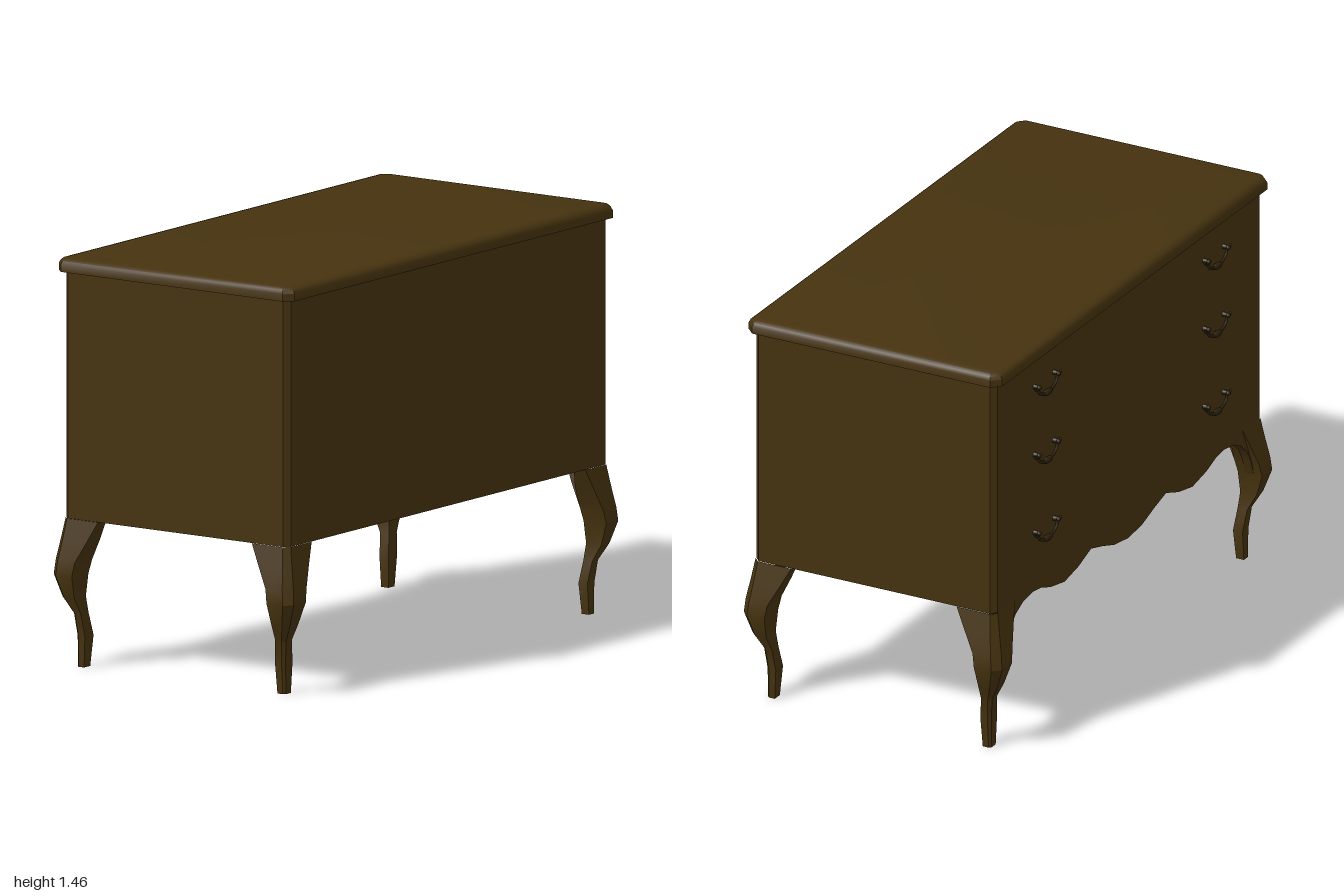
import * as THREE from 'three';
import { toCreasedNormals } from 'three/addons/utils/BufferGeometryUtils.js';

const wood = new THREE.MeshStandardMaterial({ color: 0x45320f });
wood.name = 'darkWood';
const metal = new THREE.MeshStandardMaterial({ color: 0x2a1f0b });
metal.name = 'agedMetal';

function part(name, geometry, material = wood) {
  const mesh = new THREE.Mesh(geometry, material);
  mesh.name = name;
  return mesh;
}

// Skin over rings of [x, y, z], listed bottom to top, counterclockwise from above
function loft(rings, capTop, crease = 0.4) {
  const pos = [];
  const n = rings[0].length;
  const tri = (a, b, c) => pos.push(...a, ...b, ...c);
  for (let i = 0; i < rings.length - 1; i++) {
    for (let j = 0; j < n; j++) {
      const k = (j + 1) % n;
      const [a, b, c, d] = [rings[i][j], rings[i][k], rings[i + 1][k], rings[i + 1][j]];
      tri(a, b, c);
      tri(a, c, d);
    }
  }
  const low = rings[0], high = rings[rings.length - 1];
  for (let k = 1; k < n - 1; k++) {
    tri(low[0], low[k + 1], low[k]);
    if (capTop) tri(high[0], high[k], high[k + 1]);
  }
  const g = new THREE.BufferGeometry();
  g.setAttribute('position', new THREE.Float32BufferAttribute(pos, 3));
  g.computeVertexNormals();
  return toCreasedNormals(g, crease);
}

// Rectangle with cut corners at height y
function cutRect(hx, hz, c, y) {
  return [
    [hx, hz - c], [hx, c - hz], [hx - c, -hz], [c - hx, -hz],
    [-hx, c - hz], [-hx, hz - c], [c - hx, hz], [hx - c, hz],
  ].map(([x, z]) => [x, y, z]);
}

// Cabriole leg: two flanges at the top merging into a slim square foot
function legGeometry(sx, sz) {
  // y, outer x, outer z, inner x, inner z, corner cut, flange thickness (0 = solid)
  const sections = [
    [0, 0.93, 0.446, 0.893, 0.415, 0.008, 0],
    [0.11, 0.935, 0.446, 0.883, 0.408, 0.01, 0],
    [0.19, 0.946, 0.455, 0.9, 0.417, 0.012, 0],
    [0.25, 0.977, 0.488, 0.908, 0.423, 0.02, 0],
    [0.33, 1.0, 0.515, 0.9, 0.418, 0.028, 0],
    [0.38, 0.995, 0.51, 0.888, 0.41, 0.028, 0],
    [0.46, 0.979, 0.495, 0.852, 0.367, 0.024, 0.08],
    [0.53, 0.965, 0.483, 0.82, 0.33, 0.02, 0.05],
  ];
  const rings = sections.map(([y, ox, oz, ix, iz, c, t]) => {
    const kx = t ? ox - t : ix, kz = t ? oz - t : iz;
    const ring = [[ix, oz], [ox - c, oz], [ox, oz - c], [ox, iz], [kx, iz], [kx, kz], [ix, kz]]
      .map(([x, z]) => [x * sx, y, z * sz]);
    return sx * sz < 0 ? ring.reverse() : ring;
  });
  return loft(rings, false);
}

// Scalloped apron below the drawers
function apronGeometry() {
  const half = [
    [0, 0.445], [0.1, 0.458], [0.19, 0.488], [0.27, 0.51], [0.36, 0.478], [0.46, 0.459],
    [0.56, 0.478], [0.63, 0.503], [0.69, 0.511], [0.76, 0.5], [0.81, 0.475], [0.855, 0.435],
    [0.88, 0.39], [0.9, 0.33],
  ];
  const s = new THREE.Shape();
  s.moveTo(-0.94, 0.53);
  s.lineTo(-0.94, 0.33);
  for (const [x, y] of [...half].reverse()) s.lineTo(-x, y);
  for (const [x, y] of half.slice(1)) s.lineTo(x, y);
  s.lineTo(0.94, 0.33);
  s.lineTo(0.94, 0.53);
  s.closePath();
  const g = new THREE.ExtrudeGeometry(s, { depth: 0.035, bevelEnabled: false });
  g.translate(0, 0, -0.481);
  return toCreasedNormals(g, 0.5);
}

// Drop handle hanging from two posts, facing -z
function handle() {
  const group = new THREE.Group();
  group.name = 'drawerHandle';
  const v = (x, y, z) => new THREE.Vector3(x, y, z);
  for (const s of [-1, 1]) {
    const post = part('handlePost', new THREE.CylinderGeometry(0.006, 0.01, 0.028, 8), metal);
    post.rotation.x = -Math.PI / 2;
    post.position.set(s * 0.07, 0, -0.492);
    const knob = part('handleKnob', new THREE.SphereGeometry(0.009, 8, 6), metal);
    knob.position.set(s * 0.07, 0, -0.502);
    const curl = new THREE.CatmullRomCurve3([
      v(s * 0.07, -0.002, -0.498), v(s * 0.083, -0.008, -0.498), v(s * 0.092, 0.004, -0.498),
    ]);
    group.add(post, knob, part('handleCurl', new THREE.TubeGeometry(curl, 6, 0.005, 6), metal));
  }
  const bail = new THREE.CatmullRomCurve3([
    v(-0.07, 0, -0.497), v(-0.062, -0.024, -0.497), v(-0.035, -0.04, -0.497), v(0, -0.044, -0.497),
    v(0.035, -0.04, -0.497), v(0.062, -0.024, -0.497), v(0.07, 0, -0.497),
  ]);
  const grip = part('handleGrip', new THREE.SphereGeometry(0.012, 10, 8), metal);
  grip.scale.x = 2.4;
  grip.position.set(0, -0.044, -0.497);
  group.add(part('handleBail', new THREE.TubeGeometry(bail, 20, 0.006, 6), metal), grip);
  return group;
}

export function createModel() {
  const model = new THREE.Group();
  model.name = 'chestOfDrawers';

  // Carcass with narrow cut corners
  model.add(part('carcass', loft([cutRect(0.962, 0.481, 0.02, 0.53), cutRect(0.962, 0.481, 0.02, 1.41)], true)));

  // Top board with a rounded upper edge
  const edge = [[0, 1.407], [0, 1.433], [0.006, 1.445], [0.016, 1.453], [0.032, 1.457]];
  model.add(part('topBoard', loft(edge.map(([d, y]) => cutRect(0.985 - d, 0.505 - d, 0.03 - d * 0.4, y)), true, 0.5)));

  model.add(part('apron', apronGeometry()));

  for (const sx of [-1, 1]) {
    for (const sz of [-1, 1]) model.add(part('leg', legGeometry(sx, sz)));
    // Three drawers, each with a pair of handles
    for (const y of [1.293, 1.033, 0.735]) {
      const h = handle();
      h.position.set(sx * 0.61, y, 0);
      model.add(h);
    }
  }
  return model;
}
